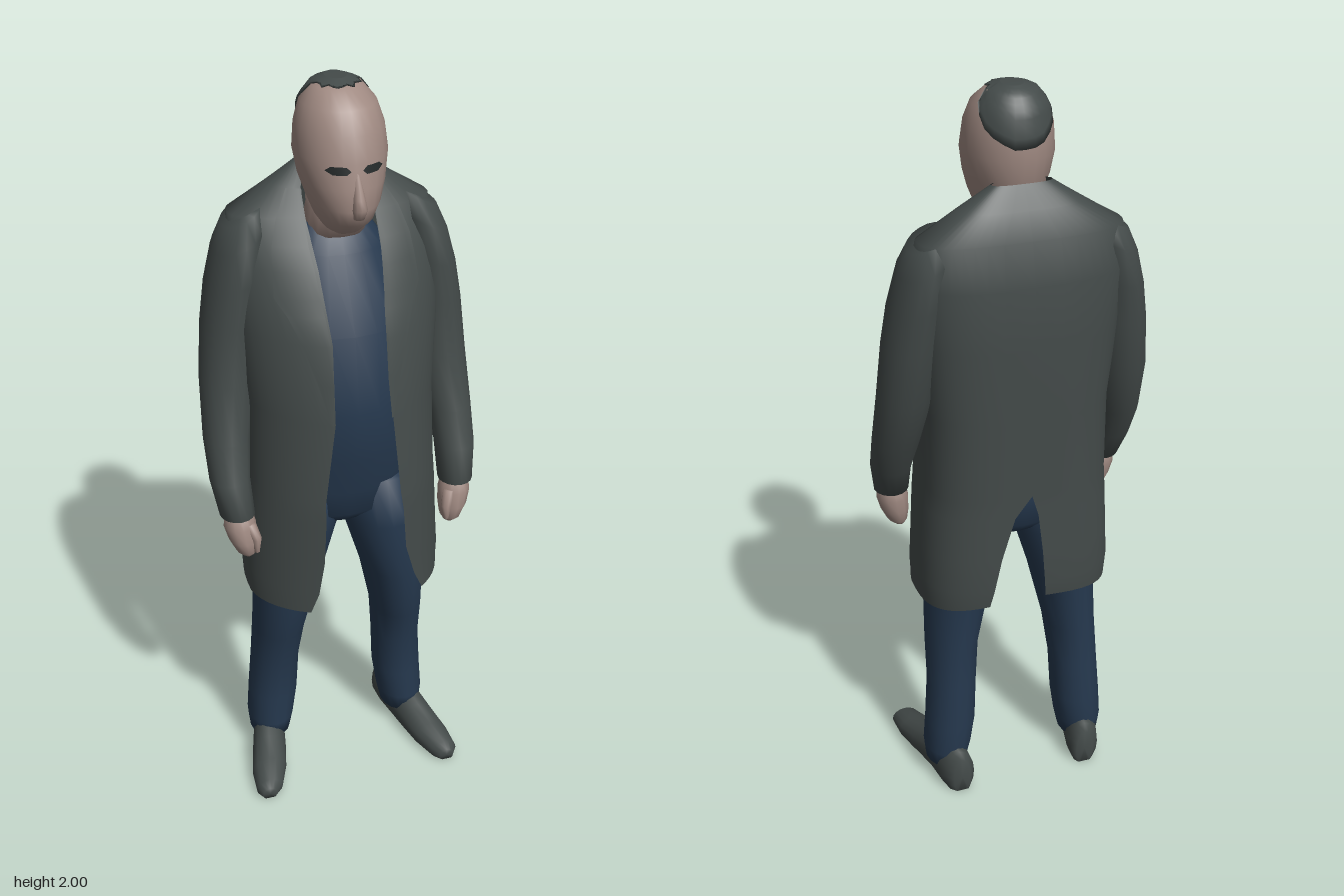
import * as THREE from 'three';
import { mergeGeometries, mergeVertices } from 'three/addons/utils/BufferGeometryUtils.js';

const mat = (name, color, side = THREE.FrontSide) => {
  const m = new THREE.MeshStandardMaterial({ color, side });
  m.name = name;
  return m;
};

// Section tables: [y, half width, front z, back z, ...extras], top to bottom
const HEAD = [
  [1.997, 0.025, 0.0, -0.065], [1.985, 0.06, 0.04, -0.092], [1.95, 0.09, 0.09, -0.118],
  [1.9, 0.106, 0.118, -0.13], [1.84, 0.112, 0.134, -0.13], [1.78, 0.102, 0.144, -0.12],
  [1.73, 0.086, 0.15, -0.1], [1.69, 0.07, 0.135, -0.08], [1.655, 0.046, 0.09, -0.05],
  [1.637, 0.02, 0.05, 0.0],
];
// Extras: front opening on the left, on the right, and width of the back vent
const COAT = [
  [1.785, 0.075, -0.08, -0.122, 0.06, 0.06, 0], [1.73, 0.155, -0.025, -0.155, 0.085, 0.085, 0],
  [1.667, 0.256, 0.01, -0.185, 0.09, 0.085, 0], [1.56, 0.27, 0.085, -0.208, 0.09, 0.075, 0],
  [1.4, 0.262, 0.168, -0.21, 0.075, 0.065, 0], [1.2, 0.245, 0.212, -0.204, 0.08, 0.07, 0],
  [0.98, 0.25, 0.238, -0.198, 0.1, 0.1, 0], [0.92, 0.255, 0.24, -0.197, 0.11, 0.1, 0.045],
  [0.8, 0.262, 0.242, -0.197, 0.12, 0.105, 0.08], [0.7, 0.268, 0.245, -0.195, 0.15, 0.12, 0.1],
  [0.645, 0.265, 0.248, -0.188, 0.18, 0.14, 0.11],
];
const COAT_FRONT = 1.15, COAT_BACK = 0.65; // pointed front, boxy back
const TORSO = [
  [1.65, 0.08, 0.01, -0.06], [1.58, 0.13, 0.045, -0.12], [1.4, 0.19, 0.135, -0.17],
  [1.2, 0.185, 0.172, -0.17], [1.05, 0.19, 0.152, -0.165], [0.94, 0.195, 0.122, -0.16],
  [0.86, 0.18, 0.105, -0.145], [0.815, 0.1, 0.06, -0.1],
];

const spow = (v, e) => Math.sign(v) * Math.abs(v) ** e;

// Interpolates a section table at height y
function section(table, y) {
  let i = 0;
  while (i < table.length - 2 && table[i + 1][0] > y) i++;
  const a = table[i], b = table[i + 1];
  const t = THREE.MathUtils.clamp((a[0] - y) / (a[0] - b[0]), 0, 1);
  return a.map((v, k) => v + (b[k] - v) * t);
}

// Point on a section at angle a (0 = front, PI/2 = left); e below 1 is boxier
function at([y, hw, zf, zb], a, e = 1) {
  return [hw * spow(Math.sin(a), e), y, (zf + zb) / 2 + (zf - zb) / 2 * spow(Math.cos(a), e)];
}

const ring = (s, n = 20) => Array.from({ length: n }, (_, j) => at(s, j / n * Math.PI * 2));
// Oval ring around (cx, cz); tilt makes it slope along x
const oval = ([y, cx, cz, rx, rz, tilt = 0], n = 16) =>
  ring([y, rx, cz + rz, cz - rz], n).map(([x, py, z]) => [x + cx, py - tilt * x, z]);

// Skins rows of points; closed rows also get end caps
function skin(rows, closed = true) {
  const n = rows[0].length, pos = rows.flat(2), idx = [];
  for (let i = 0; i < rows.length - 1; i++) {
    for (let j = 0; j < (closed ? n : n - 1); j++) {
      const k = (j + 1) % n, a = i * n + j, b = a + n, c = (i + 1) * n + k, d = i * n + k;
      idx.push(a, b, c, a, c, d);
    }
  }
  if (closed) {
    [0, rows.length - 1].forEach((r, end) => {
      const c = pos.length / 3;
      for (let k = 0; k < 3; k++) pos.push(rows[r].reduce((s, p) => s + p[k], 0) / n);
      for (let j = 0; j < n; j++) {
        const a = r * n + j, b = r * n + (j + 1) % n;
        end ? idx.push(c, b, a) : idx.push(c, a, b);
      }
    });
  }
  const g = new THREE.BufferGeometry();
  g.setAttribute('position', new THREE.Float32BufferAttribute(pos, 3));
  g.setIndex(idx);
  g.computeVertexNormals();
  return g;
}

// Thin patch lying on the front of a section table; rows are [y, x0, x1]
function patch(table, rows, e, lift, n = 6) {
  return skin(rows.map(([y, x0, x1]) => Array.from({ length: n + 1 }, (_, j) => {
    const x = x0 + (x1 - x0) * j / n, [, hw, zf, zb] = section(table, y);
    const c = Math.max(0, 1 - Math.min(1, Math.abs(x) / hw) ** (2 / e)) ** (e / 2);
    return [x, y, (zf + zb) / 2 + (zf - zb) / 2 * c + lift];
  })), false);
}

// Coat shell: two halves joined down the back as far as the vent
function coatGeometry() {
  const n = 20;
  const halves = [1, -1].map((s) => skin(COAT.map((r, i) => {
    const open = s > 0 ? r[4] : r[5], gap = s > 0 ? r[6] : r[6] * 0.4;
    const a0 = Math.asin((open / r[1]) ** (1 / COAT_FRONT));
    const a1 = Math.PI - Math.asin((gap / r[1]) ** (1 / COAT_BACK));
    const row = Array.from({ length: n + 1 }, (_, j) => {
      const a = a0 + (a1 - a0) * j / n;
      const p = at(r, a, Math.cos(a) > 0 ? COAT_FRONT : COAT_BACK);
      const drop = i === COAT.length - 1 ? 0.012 - 0.032 * Math.sin(a) : 0;
      return [p[0] * s, p[1] + drop, p[2]];
    });
    return s > 0 ? row : row.reverse();
  }), false));
  const g = mergeGeometries(halves);
  g.deleteAttribute('normal');
  const joined = mergeVertices(g, 1e-4);
  joined.computeVertexNormals();
  return joined;
}

// Receding hair on the crown, sitting just over the skull
function hairGeometry() {
  const n = 28, steps = 10;
  return skin(Array.from({ length: steps + 1 }, (_, i) => Array.from({ length: n }, (_, j) => {
    const a = j / n * Math.PI * 2;
    const edge = Math.min(1.987, 1.865 + 0.12 * (1 + Math.cos(a))) + 0.002 * Math.sin(j * 2.3);
    const [x, y, z] = at(section(HEAD, 1.997 - (1.997 - edge) * (i / steps) ** 2), a);
    return [x * 1.03, y + 0.003, (z + 0.02) * 1.03 - 0.02];
  })));
}

// Shoe from flat-bottomed rings [z, centre x, half width, height], toe to heel
function shoeGeometry(s) {
  const n = 16;
  return skin([
    [0.203, 0.268, 0.02, 0.035], [0.185, 0.264, 0.038, 0.052], [0.12, 0.248, 0.05, 0.068],
    [0.05, 0.23, 0.05, 0.092], [-0.03, 0.21, 0.046, 0.125], [-0.1, 0.197, 0.048, 0.135],
    [-0.14, 0.19, 0.042, 0.13], [-0.155, 0.187, 0.025, 0.11],
  ].map(([z, cx, hw, h]) => Array.from({ length: n }, (_, j) => {
    const a = j / n * Math.PI * 2;
    return [s * cx + hw * Math.sin(a), Math.max(0, h * (0.4 - 0.6 * Math.cos(a))), z];
  })));
}

export function createModel() {
  const model = new THREE.Group();
  model.name = 'manInLongCoat';
  const coat = mat('charcoal', 0x444b4a, THREE.DoubleSide);
  const blue = mat('navyBlue', 0x26394f);
  const flesh = mat('skin', 0xa08a82);
  const dark = mat('nearBlack', 0x262b2b, THREE.DoubleSide);
  const add = (name, geometry, material) => {
    const m = new THREE.Mesh(geometry, material);
    m.name = name;
    model.add(m);
  };
  const limb = (s, rows, n) => skin(rows.map(([y, cx, cz, rx, rz, tilt = 0]) =>
    oval([y, s * cx, cz, rx, rz, s * tilt], n)));

  // Head
  add('head', skin(HEAD.map((r) => ring(r, 24))), flesh);
  add('hair', hairGeometry(), coat);
  add('neck', skin([[1.77, 0, -0.046, 0.074, 0.074], [1.69, 0, -0.03, 0.074, 0.07],
    [1.62, 0, -0.04, 0.085, 0.07]].map((r) => oval(r))), flesh);
  add('nose', skin([[1.82, 0.002, 0.125, 0.008, 0.012], [1.76, 0.004, 0.14, 0.015, 0.018],
    [1.735, 0.005, 0.144, 0.019, 0.02], [1.71, 0.005, 0.137, 0.014, 0.014]].map((r) => oval(r, 10))), flesh);

  // Body
  add('shirt', skin(TORSO.map((r) => ring(r))), blue);
  add('coat', coatGeometry(), coat);

  for (const s of [1, -1]) {
    const side = s > 0 ? 'left' : 'right';
    const strip = (rows) => rows.map(([y, a, b]) => (s > 0 ? [y, a, b] : [y, -b, -a]));

    add(side + 'Eye', patch(HEAD, strip([[1.837, 0.025, 0.058], [1.827, 0.014, 0.07],
      [1.818, 0.024, 0.055]]), 1, 0.005), dark);
    add(side + 'Lapel', patch(COAT, strip([[1.73, 0.085, 0.12], [1.67, 0.09, 0.155], [1.61, 0.09, 0.175],
      [1.56, 0.085, 0.18], [1.5, 0.08, 0.185], [1.46, 0.075, 0.16], [1.4, 0.07, 0.135],
      [1.3, 0.07, 0.105], [1.2, 0.075, 0.08]]), COAT_FRONT, 0.006), coat);

    // Arm
    add(side + 'Sleeve', limb(s, [
      [1.667, 0.225, -0.085, 0.05, 0.07, 0.5], [1.61, 0.236, -0.08, 0.065, 0.1, 0.45],
      [1.51, 0.254, -0.073, 0.071, 0.1, 0.25], [1.4, 0.268, -0.065, 0.074, 0.09, 0.1],
      [1.25, 0.284, -0.05, 0.072, 0.08], [1.1, 0.302, -0.005, 0.061, 0.07],
      [1.0, 0.308, 0.04, 0.053, 0.06], [0.91, 0.3, 0.078, 0.046, 0.05],
    ]), coat);
    add(side + 'Hand', limb(s, [
      [0.93, 0.3, 0.078, 0.034, 0.036], [0.88, 0.296, 0.084, 0.043, 0.044],
      [0.84, 0.29, 0.09, 0.038, 0.046], [0.805, 0.284, 0.092, 0.027, 0.038], [0.79, 0.28, 0.092, 0.014, 0.022],
    ], 12), flesh);
    add(side + 'Thumb', limb(s, [
      [0.89, 0.275, 0.105, 0.016, 0.018], [0.85, 0.262, 0.122, 0.014, 0.015], [0.81, 0.262, 0.122, 0.008, 0.01],
    ], 8), flesh);

    // Leg
    add(side + 'TrouserLeg', limb(s, [
      [0.95, 0.098, -0.015, 0.1, 0.13], [0.8, 0.118, -0.015, 0.108, 0.13], [0.62, 0.152, -0.01, 0.088, 0.12],
      [0.45, 0.174, -0.025, 0.072, 0.095], [0.33, 0.182, -0.045, 0.068, 0.08], [0.2, 0.19, -0.05, 0.07, 0.077],
      [0.11, 0.2, -0.048, 0.066, 0.08], [0.06, 0.203, -0.045, 0.058, 0.072],
    ]), blue);
    add(side + 'Shoe', shoeGeometry(s), coat);
  }
  return model;
}
